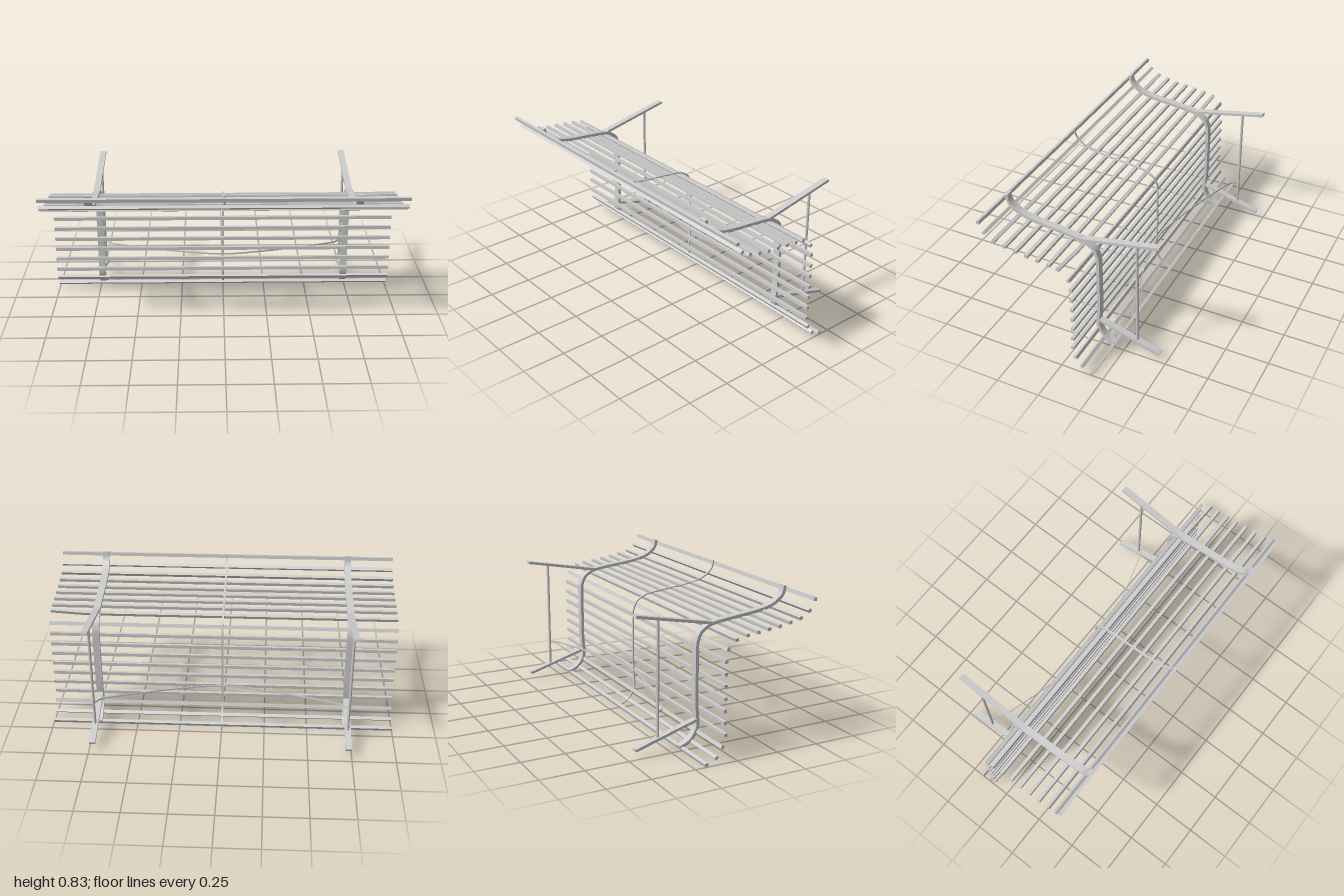
import * as THREE from 'three';
import { toCreasedNormals } from 'three/addons/utils/BufferGeometryUtils.js';

const material = new THREE.MeshStandardMaterial({ color: 0xcccccc, side: THREE.DoubleSide });
const V = (z, y) => new THREE.Vector2(z, y);

// Side profile of the bent frame as (z, y), from front lip to lower back
const profile = new THREE.SplineCurve([
  V(0.438, 0.83), V(0.43, 0.793), V(0.407, 0.764), V(0.362, 0.735), V(0.3, 0.717), V(0.214, 0.704),
  V(0.09, 0.691), V(-0.009, 0.677), V(-0.046, 0.66), V(-0.078, 0.635), V(-0.094, 0.6), V(-0.1, 0.56),
  V(-0.1, 0.4), V(-0.1, 0.28), V(-0.096, 0.2), V(-0.091, 0.135), V(-0.105, 0.09), V(-0.14, 0.047), V(-0.196, 0.02),
]);
const samples = profile.getPoints(72);
const tangents = samples.map((_, i) => profile.getTangent(i / 72));

// Flat bar following the profile, offset sideways and extruded along x
function strapGeometry(width, inner, outer) {
  const side = (d) => samples.map((p, i) => V(p.x - tangents[i].y * d, p.y + tangents[i].x * d));
  const shape = new THREE.Shape([...side(inner), ...side(outer).reverse()]);
  const g = new THREE.ExtrudeGeometry(shape, { depth: width, bevelEnabled: false });
  g.translate(0, 0, -width / 2).rotateY(-Math.PI / 2);
  return toCreasedNormals(g, 0.6);
}

// Straight bar between two (z, y) points
function barGeometry(a, b, width, thick) {
  const g = new THREE.BoxGeometry(width, thick, a.distanceTo(b));
  g.rotateX(-Math.atan2(b.y - a.y, b.x - a.x));
  return g.translate(0, (a.y + b.y) / 2, (a.x + b.x) / 2);
}

// Slat centres as (z, y)
const slats = [
  [0.453, 0.809], [0.421, 0.753], [0.367, 0.719], [0.303, 0.704], [0.239, 0.692], [0.174, 0.685], [0.11, 0.677],
  [0.046, 0.669], [-0.018, 0.655], [-0.068, 0.611], [-0.078, 0.549], [-0.078, 0.482], [-0.078, 0.418],
  [-0.078, 0.351], [-0.078, 0.287], [-0.077, 0.222], [-0.073, 0.156], [-0.09, 0.094], [-0.125, 0.042], [-0.184, 0.014],
];

export function createModel() {
  const group = new THREE.Group();
  const add = (name, geometry, x = 0) => {
    const mesh = new THREE.Mesh(geometry, material);
    mesh.name = name;
    mesh.position.x = x;
    group.add(mesh);
    return mesh;
  };

  // Long slats, turned to lie flat against the frame
  slats.forEach(([z, y], n) => {
    const c = V(z, y);
    let k = 0;
    samples.forEach((p, i) => { if (p.distanceTo(c) < samples[k].distanceTo(c)) k = i; });
    const g = new THREE.BoxGeometry(2, 0.018, 0.019, 10, 1, 1);
    g.rotateX(-Math.atan2(tangents[k].y, tangents[k].x));
    if (n === 8) {
      // this slat is slightly bent at one end
      const p = g.attributes.position;
      for (let i = 0; i < p.count; i++) {
        const t = Math.max(0, (p.getX(i) - 0.79) / 0.21);
        p.setY(i, p.getY(i) + 0.008 * t);
        p.setZ(i, p.getZ(i) + 0.01 * t);
      }
      g.computeVertexNormals();
    }
    g.translate(0, y, z);
    add('slat' + (n + 1), g);
  });

  // Two end frames with splayed legs and an upright
  const strap = strapGeometry(0.04, -0.009, 0.009);
  const upperLeg = barGeometry(V(-0.004, 0.678), V(-0.455, 0.766), 0.036, 0.015);
  const lowerLeg = barGeometry(V(-0.095, 0.158), V(-0.459, 0.05), 0.036, 0.015);
  const upright = new THREE.CylinderGeometry(0.008, 0.008, 0.64, 12).translate(0, 0.416, -0.323);
  for (const s of [-1, 1]) {
    const label = s > 0 ? 'left' : 'right';
    add(label + 'Frame', strap, s * 0.73);
    add(label + 'UpperLeg', upperLeg, s * 0.73);
    add(label + 'LowerLeg', lowerLeg, s * 0.73);
    add(label + 'Upright', upright, s * 0.73);
  }

  // Thin strap in the middle, against the slats
  add('middleStrap', strapGeometry(0.011, 0.002, 0.009)).name = 'middleStrap';

  // Thin bowed band linking the uprights with the middle strap
  const half = [[0.725, -0.315], [0.705, -0.288], [0.66, -0.262], [0.45, -0.198], [0.235, -0.144]];
  const bow = new THREE.SplineCurve([
    ...half.map(([x, z]) => V(-x, z)), V(0, -0.107), ...half.slice().reverse().map(([x, z]) => V(x, z)),
  ]).getPoints(60);
  const outline = [...bow.map((p) => V(p.x, -p.y - 0.002)), ...bow.map((p) => V(p.x, -p.y + 0.002)).reverse()];
  const band = new THREE.ExtrudeGeometry(new THREE.Shape(outline), { depth: 0.01, bevelEnabled: false });
  band.rotateX(-Math.PI / 2).translate(0, 0.229, 0);
  add('bowedBrace', toCreasedNormals(band, 0.6));

  return group;
}
